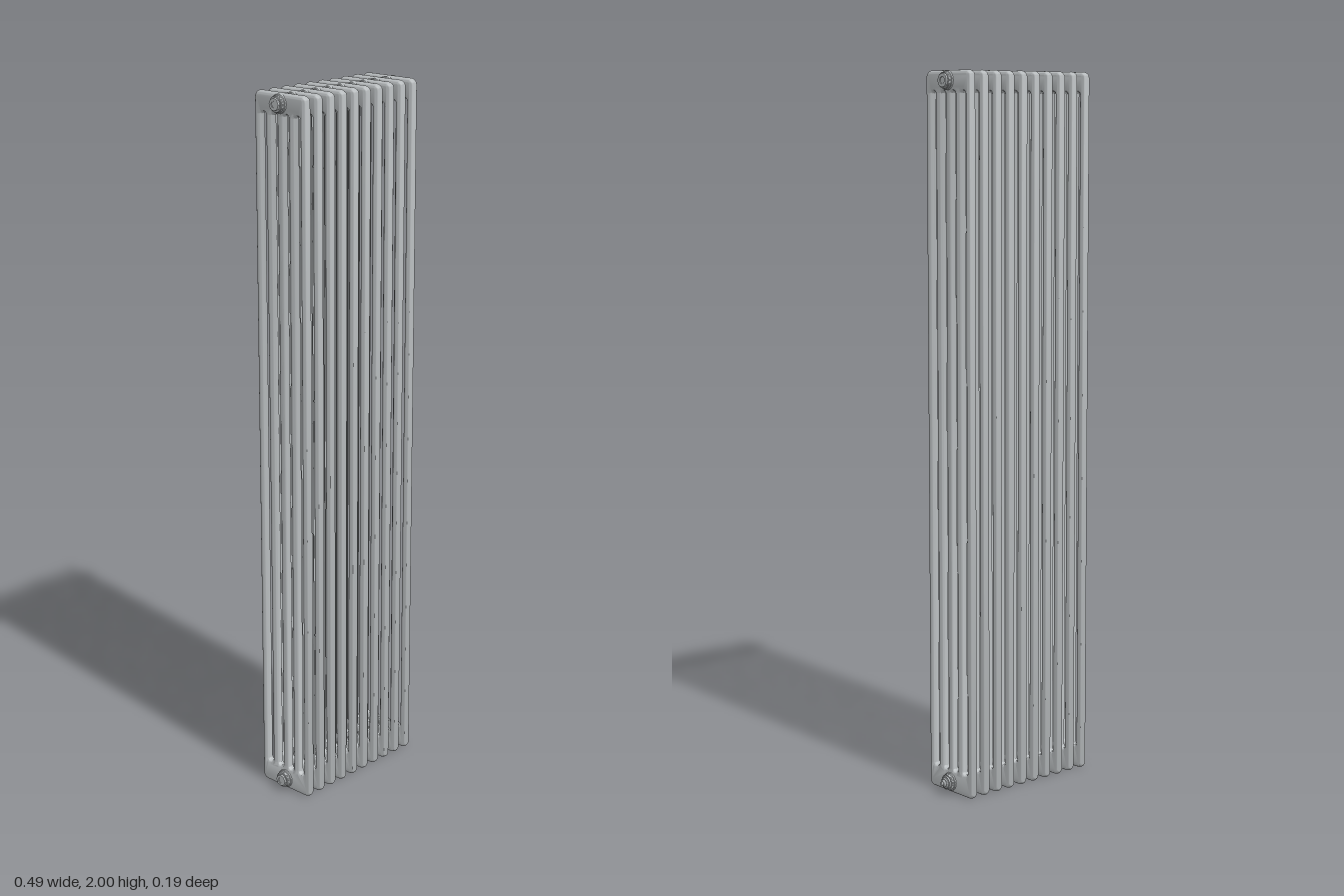
import * as THREE from 'three';
import { mergeVertices, toCreasedNormals } from 'three/addons/utils/BufferGeometryUtils.js';

const SECTIONS = 10, PITCH = 0.0461, FIRST_X = -0.215;
const HEADER_Y = [0.032, 1.973];

// Rounded rectangle centred on x = cx, from y0 to y1
function roundedRect(path, cx, half, y0, y1, r) {
  path.moveTo(cx + half, y0 + r);
  path.lineTo(cx + half, y1 - r);
  path.absarc(cx + half - r, y1 - r, r, 0, Math.PI / 2);
  path.absarc(cx - half + r, y1 - r, r, Math.PI / 2, Math.PI);
  path.lineTo(cx - half, y0 + r);
  path.absarc(cx - half + r, y0 + r, r, Math.PI, Math.PI * 1.5);
  path.absarc(cx + half - r, y0 + r, r, Math.PI * 1.5, Math.PI * 2);
  return path;
}

// One section: five round columns joined by headers, as a slotted plate with full-round edges
function sectionGeometry() {
  const shape = roundedRect(new THREE.Shape(), 0, 0.0935, 0, 2, 0.018);
  for (const z of [-0.0615, -0.0205, 0.0205, 0.0615]) {
    shape.holes.push(roundedRect(new THREE.Path(), z, 0.0083, 0.065, 1.945, 0.0082));
  }
  const raw = new THREE.ExtrudeGeometry(shape, {
    depth: 0.001, bevelEnabled: true, bevelThickness: 0.012, bevelSize: 0.0112,
    bevelOffset: -0.0112, bevelSegments: 6, curveSegments: 6,
  });
  raw.translate(0, 0, -0.0005);
  raw.rotateY(Math.PI / 2);
  raw.deleteAttribute('uv');
  raw.deleteAttribute('normal');
  return toCreasedNormals(mergeVertices(raw, 1e-5), 0.7);
}

// Turned part along the x axis from [radius, x] pairs
function turned(pairs, sides = 28) {
  const geo = new THREE.LatheGeometry(pairs.map(([r, x]) => new THREE.Vector2(r, x)), sides);
  geo.rotateZ(-Math.PI / 2);
  return toCreasedNormals(geo, 0.6);
}

export function createModel() {
  const group = new THREE.Group();
  const paint = new THREE.MeshStandardMaterial({ color: 0xb6babc });
  paint.name = 'grey enamel';
  const add = (name, geo, x, y) => {
    const mesh = new THREE.Mesh(geo, paint);
    mesh.name = name;
    mesh.position.set(x, y, 0);
    group.add(mesh);
  };

  // Sections and the hubs that join them at both headers
  const section = sectionGeometry();
  const hub = turned([
    [0, -0.0228], [0.0205, -0.0228], [0.0225, -0.0215], [0.0232, -0.018], [0.0255, -0.0165],
    [0.0262, -0.013], [0.0262, 0.013], [0.0255, 0.0165], [0.0232, 0.018], [0.0225, 0.0215],
    [0.0205, 0.0228], [0, 0.0228],
  ]);
  const joint = turned([[0.0195, -0.002], [0.0195, 0.002]]);
  for (let i = 0; i < SECTIONS; i++) {
    const x = FIRST_X + i * PITCH;
    add('section', section, x, 0);
    for (const y of HEADER_Y) {
      add('hub', hub, x, y);
      if (i < SECTIONS - 1) add('hubJoint', joint, x + PITCH / 2, y);
    }
  }

  // Right-hand end plugs: flange with an octagonal head
  const flange = turned([[0, -0.242], [0.0205, -0.242], [0.022, -0.2405], [0.022, -0.236], [0, -0.236]]);
  const head = turned([[0, -0.246], [0.009, -0.246], [0.009, -0.248], [0.017, -0.248], [0.0175, -0.24]], 8);
  for (const y of HEADER_Y) {
    add('plugFlange', flange, 0, y);
    add('plugHead', head, 0, y);
  }

  // Left-hand end: flat bush at the top, stepped vent with a spindle at the bottom
  const bush = turned([
    [0.022, 0.220], [0.022, 0.2255], [0.019, 0.2255], [0.018, 0.230],
    [0.0095, 0.230], [0.0095, 0.2275], [0, 0.2275],
  ]);
  for (const y of HEADER_Y) add('endBush', bush, 0, y);
  add('ventNut', turned([[0.016, 0.227], [0.016, 0.232], [0.0125, 0.235], [0, 0.235]], 8), 0, HEADER_Y[0]);
  add('ventSpindle', turned([
    [0.0115, 0.234], [0.006, 0.2395], [0.006, 0.241], [0.005, 0.241], [0.005, 0.2465], [0, 0.2465],
  ], 16), 0, HEADER_Y[0]);

  return group;
}
